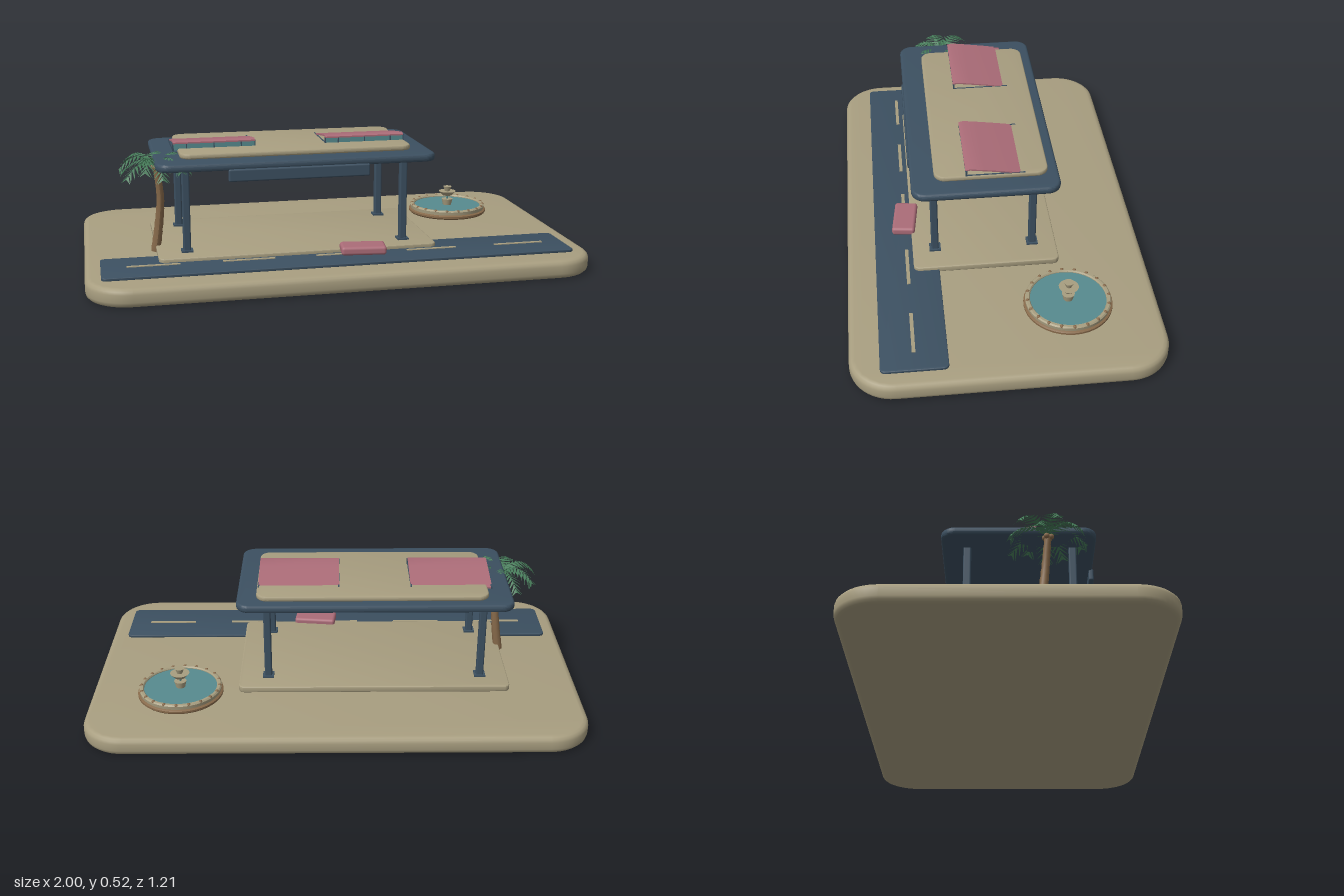
import * as THREE from 'three';
import { toCreasedNormals } from 'three/addons/utils/BufferGeometryUtils.js';
import { RoundedBoxGeometry } from 'three/addons/geometries/RoundedBoxGeometry.js';

const mat = (name, color, side = THREE.FrontSide) => {
  const m = new THREE.MeshStandardMaterial({ color, side });
  m.name = name;
  return m;
};

export function createModel() {
  const sand = mat('sand', 0xa89e80);
  const slate = mat('slate blue', 0x3c5061);
  const rose = mat('rose', 0xab6c78, THREE.DoubleSide);
  const teal = mat('teal', 0x578b8f, THREE.DoubleSide);
  const leaf = mat('leaf green', 0x457a58, THREE.DoubleSide);
  const bark = mat('bark brown', 0x86694a);

  const model = new THREE.Group();
  model.name = 'pavilion';
  const add = (name, geo, material, x = 0, y = 0, z = 0, parent = model) => {
    const m = new THREE.Mesh(geo, material);
    m.name = name;
    m.position.set(x, y, z);
    parent.add(m);
    return m;
  };
  const group = (name, x = 0, y = 0, z = 0) => {
    const g = new THREE.Group();
    g.name = name;
    g.position.set(x, y, z);
    model.add(g);
    return g;
  };

  // Flat slab with rounded corners and a bevelled rim, standing on y = 0
  const slab = (w, d, h, r, b) => {
    const s = new THREE.Shape(), x = w / 2, y = d / 2;
    s.moveTo(-x + r, -y);
    s.lineTo(x - r, -y);
    s.absarc(x - r, -y + r, r, -Math.PI / 2, 0);
    s.absarc(x - r, y - r, r, 0, Math.PI / 2);
    s.absarc(-x + r, y - r, r, Math.PI / 2, Math.PI);
    s.absarc(-x + r, -y + r, r, Math.PI, Math.PI * 1.5);
    const g = new THREE.ExtrudeGeometry(s, {
      depth: h - 2 * b, bevelThickness: b, bevelSize: b, bevelOffset: -b, bevelSegments: 3, curveSegments: 6,
    });
    g.rotateX(-Math.PI / 2).translate(0, b, 0);
    return toCreasedNormals(g, 0.6);
  };

  // Ground, road and floor
  add('base', slab(2, 1.21, 0.073, 0.17, 0.022), sand);
  add('road', slab(1.87, 0.255, 0.012, 0.02, 0.003), slate, -0.005, 0.072, 0.362);
  for (let i = -2; i <= 2; i++) {
    add('roadDash', new THREE.BoxGeometry(0.205, 0.004, 0.014), sand, i * 0.37, 0.085, 0.362);
  }
  add('floor', slab(1.115, 0.59, 0.026, 0.025, 0.004), sand, -0.158, 0.073, 0.042);

  // Pillars with feet and caps
  for (const x of [-0.6, 0.28]) {
    for (const z of [0.245, -0.155]) {
      const p = group('pillar', x, 0, z);
      add('post', new RoundedBoxGeometry(0.03, 0.35, 0.03, 2, 0.006), slate, 0, 0.27, 0, p);
      add('foot', new THREE.BoxGeometry(0.046, 0.008, 0.046), slate, 0, 0.102, 0, p);
    }
  }

  // Roof, upper deck and hanging front board
  add('roof', slab(1.115, 0.585, 0.031, 0.055, 0.01), slate, -0.158, 0.435, 0.04);
  add('roofDeck', slab(0.935, 0.45, 0.021, 0.045, 0.006), sand, -0.148, 0.466, 0.015);
  add('frontBoard', new RoundedBoxGeometry(0.56, 0.05, 0.02, 2, 0.007), slate, -0.16, 0.416, 0.328);

  // Sloping skylights with glazed fronts and open sides
  for (const x of [-0.47, 0.15]) {
    const s = group('skylight', x, 0, 0);
    const pane = new THREE.Shape([[0.118, 0.506], [0.118, 0.512], [0.1, 0.517], [0.04, 0.509], [-0.04, 0.497],
      [-0.117, 0.484], [-0.117, 0.479], [-0.04, 0.491], [0.04, 0.503], [0.1, 0.511]]
      .map(([z, y]) => new THREE.Vector2(-z, y)));
    const g = new THREE.ExtrudeGeometry(pane, { depth: 0.33, bevelEnabled: false });
    g.translate(0, 0, -0.165).rotateY(Math.PI / 2);
    add('skylightPane', toCreasedNormals(g, 0.5), rose, 0, 0, 0, s);
    add('skylightGlass', new THREE.BoxGeometry(0.33, 0.03, 0.005), teal, 0, 0.495, 0.114, s);
    for (const u of [-0.165, -0.11, 0, 0.11, 0.165]) {
      add('mullion', new THREE.BoxGeometry(0.005, 0.03, 0.007), slate, u, 0.495, 0.114, s);
    }
    for (const u of [-0.163, 0.163]) {
      add('skylightRail', new THREE.BoxGeometry(0.006, 0.012, 0.235), slate, u, 0.482, 0, s);
    }
  }

  // Small car on the road
  const car = add('car', new RoundedBoxGeometry(0.18, 0.035, 0.095, 3, 0.012), rose, 0.087, 0.103, 0.36);
  car.rotation.y = -0.12;

  // Fountain
  const f = group('fountain', 0.636, 0, -0.25);
  const lathe = (pts) => toCreasedNormals(
    new THREE.LatheGeometry(pts.map(([r, y]) => new THREE.Vector2(r, y)), 40), 0.6);
  add('basinFoot', lathe([[0, 0.073], [0.168, 0.073], [0.174, 0.079], [0.174, 0.087], [0.166, 0.092], [0, 0.092]]),
    bark, 0, 0, 0, f);
  add('basinRim', lathe([[0.166, 0.09], [0.168, 0.106], [0.163, 0.111], [0.153, 0.111], [0.149, 0.106], [0.149, 0.09]]),
    sand, 0, 0, 0, f);
  add('water', new THREE.CylinderGeometry(0.15, 0.15, 0.006, 40), teal, 0, 0.1, 0, f);
  for (let i = 0; i < 20; i++) {
    const a = i / 20 * Math.PI * 2;
    add('rimBead', new THREE.SphereGeometry(0.008, 8, 6), bark, Math.cos(a) * 0.16, 0.107, Math.sin(a) * 0.16, f);
  }
  add('lowerCup', new THREE.CylinderGeometry(0.025, 0.018, 0.03, 24), sand, 0, 0.115, 0, f);
  add('waterJet', new THREE.CylinderGeometry(0.004, 0.004, 0.03, 8), teal, 0, 0.14, 0, f);
  add('upperBowl', new THREE.CylinderGeometry(0.039, 0.022, 0.019, 24), sand, 0, 0.157, 0, f);
  add('topCup', new THREE.CylinderGeometry(0.019, 0.011, 0.022, 24), sand, 0, 0.177, 0, f);

  // Palm trunk, tapered along a gentle curve with ring bands
  const palm = group('palm');
  const path = new THREE.CatmullRomCurve3([[-0.716, 0.073, 0.123], [-0.7, 0.19, 0.128], [-0.692, 0.3, 0.138], [-0.706, 0.43, 0.149]]
    .map((p) => new THREE.Vector3(...p)));
  const N = 22, R = 10;
  const trunk = new THREE.TubeGeometry(path, N, 1, R);
  const pos = trunk.attributes.position, v = new THREE.Vector3();
  for (let i = 0; i <= N; i++) {
    const c = path.getPointAt(i / N);
    const r = 0.019 - 0.007 * i / N + (i % 2 ? 0.0015 : 0);
    for (let j = 0; j <= R; j++) {
      const k = i * (R + 1) + j;
      v.fromBufferAttribute(pos, k).sub(c).multiplyScalar(r).add(c);
      pos.setXYZ(k, v.x, v.y, v.z);
    }
  }
  trunk.computeVertexNormals();
  add('trunk', trunk, bark, 0, 0, 0, palm);
  for (let i = 0; i < 4; i++) {
    const a = i * Math.PI / 2 + 0.4;
    add('coconut', new THREE.SphereGeometry(0.011, 10, 8), bark, -0.706 + Math.cos(a) * 0.013, 0.424, 0.149 + Math.sin(a) * 0.013, palm);
  }

  // Arching fronds: a narrow rib with pointed leaflets on both sides
  const frond = (len, rise, drop) => {
    const p = [], n = 10;
    const at = (t, side = 0, dy = 0) => [len * t, rise * Math.sin(t * 2.2) - drop * t * t + dy, side];
    for (let i = 0; i < n; i++) {
      const t = i / n, t1 = (i + 0.8) / n;
      const reach = 0.012 + 0.03 * Math.sin(Math.PI * (0.2 + 0.75 * t));
      for (const s of [-1, 1]) {
        p.push(...at(t), ...at(Math.min(1, t + 0.2), s * reach, -0.012), ...at(t1));
        p.push(...at(t, s * 0.003), ...at(t1, s * 0.002), ...at(t1, 0, -0.003));
      }
    }
    const g = new THREE.BufferGeometry();
    g.setAttribute('position', new THREE.Float32BufferAttribute(p, 3));
    g.computeVertexNormals();
    return g;
  };
  for (let i = 0; i < 13; i++) {
    const upper = i % 2;
    const m = add('frond', frond(0.14 + 0.012 * (i % 3), upper ? 0.06 : 0.035, upper ? 0.06 : 0.065), leaf, -0.706, 0.434, 0.145, palm);
    m.rotation.y = i / 13 * Math.PI * 2;
  }

  return model;
}
